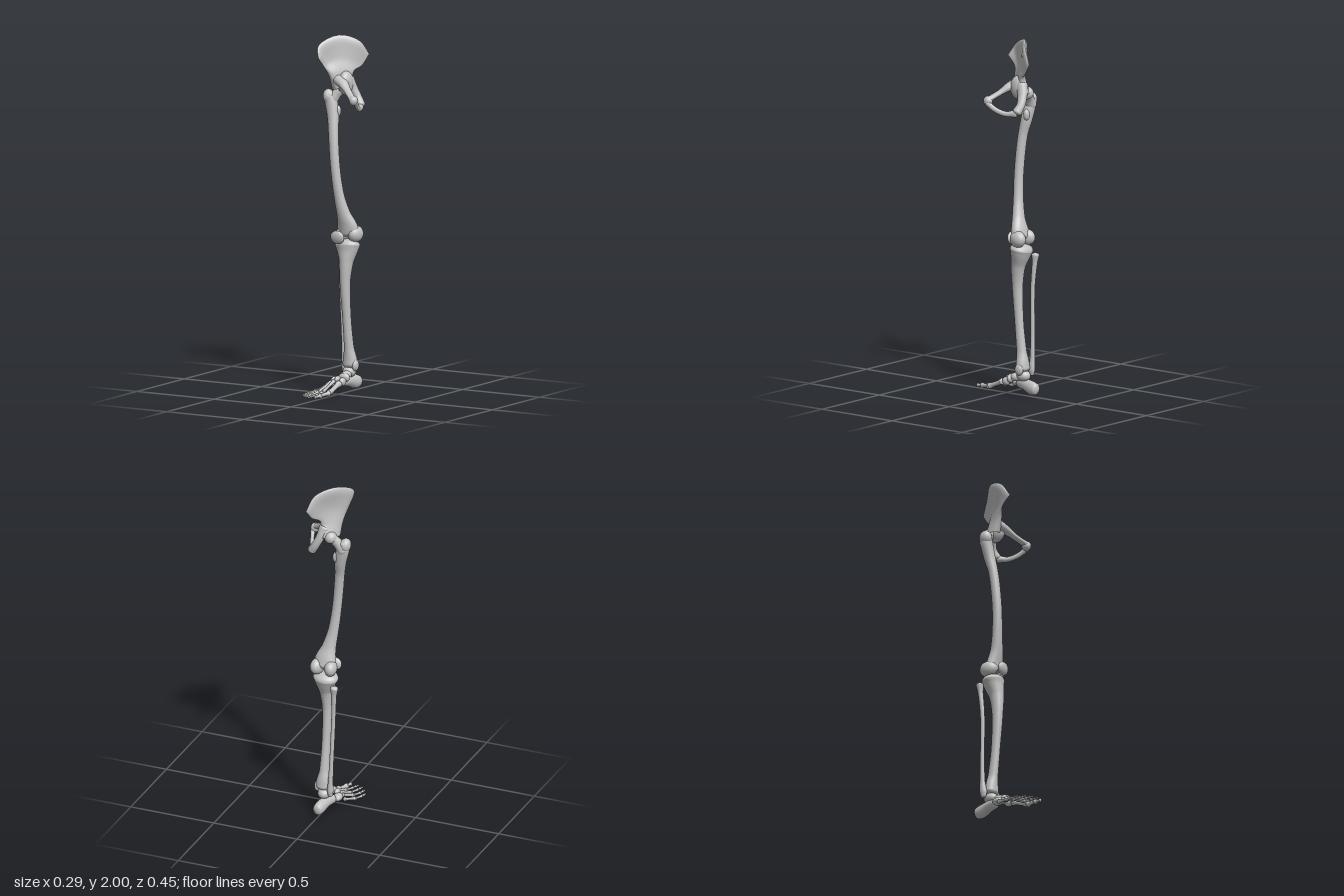
import * as THREE from 'three';

const bone = new THREE.MeshStandardMaterial({ color: 0xc2c2c2 });
bone.name = 'bone grey';

// Surface through closed rings of points; optional poles close the two ends
function skin(rings, poles = []) {
  const n = rings[0].length, pos = [], idx = [];
  [...rings.flat(), ...poles].forEach(p => pos.push(p.x, p.y, p.z));
  const s = rings.length * n, last = s - n;
  for (let j = 0; j < n; j++) {
    const k = (j + 1) % n;
    for (let i = 0; i < rings.length - 1; i++) {
      const a = i * n + j, b = i * n + k;
      idx.push(a, b, a + n, b, b + n, a + n);
    }
    if (poles.length) idx.push(s, k, j, s + 1, last + j, last + k);
  }
  const g = new THREE.BufferGeometry();
  g.setAttribute('position', new THREE.Float32BufferAttribute(pos, 3));
  g.setIndex(idx);
  g.computeVertexNormals();
  return g;
}

function add(parent, name, geometry) {
  const m = new THREE.Mesh(geometry, bone);
  m.name = name;
  parent.add(m);
  return m;
}

// Bone along a spline; each station is [x, y, z, half width, half depth]
function shaft(parent, name, st, steps = 36, sides = 20) {
  const path = new THREE.CatmullRomCurve3(st.map(p => new THREE.Vector3(p[0], p[1], p[2])));
  const radii = new THREE.CatmullRomCurve3(st.map(p => new THREE.Vector3(p[3], p[4] ?? p[3], 0)));
  const span = path.getPoint(1).sub(path.getPoint(0)).normalize();
  const ref = Math.abs(span.y) > 0.7 ? new THREE.Vector3(0, 0, 1) : new THREE.Vector3(0, 1, 0);
  const ring = (t, push, scale) => {
    const c = path.getPoint(t), r = radii.getPoint(t), T = path.getTangent(t);
    const side = new THREE.Vector3().crossVectors(ref, T).normalize();
    const up = new THREE.Vector3().crossVectors(T, side);
    c.addScaledVector(T, push * Math.min(r.x, r.y));
    return Array.from({ length: sides }, (_, j) => {
      const a = j / sides * Math.PI * 2;
      return c.clone().addScaledVector(side, Math.cos(a) * r.x * scale).addScaledVector(up, Math.sin(a) * r.y * scale);
    });
  };
  const rings = [], caps = [1.3, 0.95, 0.6, 0.3];
  caps.forEach(a => rings.push(ring(0, -0.6 * Math.sin(a), Math.cos(a))));
  for (let i = 0; i <= steps; i++) rings.push(ring(i / steps, 0, 1));
  caps.reverse().forEach(a => rings.push(ring(1, 0.6 * Math.sin(a), Math.cos(a))));
  add(parent, name, skin(rings, [ring(0, -0.6, 0)[0], ring(1, 0.6, 0)[0]]));
}

function knob(parent, name, [x, y, z], [rx, ry, rz], rot = [0, 0, 0]) {
  const m = add(parent, name, new THREE.SphereGeometry(1, 24, 16));
  m.position.set(x, y, z);
  m.scale.set(rx, ry, rz);
  m.rotation.set(...rot);
}

function section(root, name) {
  const g = new THREE.Group();
  g.name = name;
  root.add(g);
  return g;
}

// Curved hip blade: rows run front to back, from the socket up to the crest
function hipBlade(g) {
  const rows = [
    [[-.05, 1.7, -.04], [-.045, 1.7, -.065], [-.035, 1.7, -.09], [-.018, 1.7, -.115], [.005, 1.7, -.14]],
    [[-.072, 1.79, -.012], [-.058, 1.79, -.04], [-.038, 1.79, -.07], [-.01, 1.79, -.1], [.022, 1.795, -.128]],
    [[-.088, 1.835, .015], [-.085, 1.86, -.02], [-.042, 1.88, -.075], [.014, 1.865, -.13], [.048, 1.825, -.172]],
    [[-.09, 1.885, .064], [-.113, 1.95, .025], [-.05, 2.0, -.09], [.036, 1.965, -.165], [.068, 1.885, -.218]],
  ].map(r => new THREE.CatmullRomCurve3(r.map(p => new THREE.Vector3(...p))));
  const thick = new THREE.CatmullRomCurve3([.034, .024, .01, .017].map(t => new THREE.Vector3(t, 0, 0)));
  const at = (u, v) => new THREE.CatmullRomCurve3(rows.map(r => r.getPoint(u))).getPoint(v);
  const rings = [], n = 48, steps = 32;
  for (let i = 0; i <= steps; i++) {
    const v = Math.sin(i / steps * Math.PI / 2), ring = [];
    // The blade rounds over to nothing along the crest
    const h = thick.getPoint(v).x * Math.sqrt(1 - Math.max(0, (v - .86) / .14) ** 2);
    for (let j = 0; j < n; j++) {
      const a = j / n * Math.PI * 2, u = (1 - Math.cos(a)) / 2;
      const u0 = Math.max(0, u - .02), u1 = Math.min(1, u + .02);
      const v0 = Math.max(0, v - .02), v1 = Math.min(1, v + .02);
      const N = at(u1, v).sub(at(u0, v)).cross(at(u, v1).sub(at(u, v0))).normalize();
      ring.push(at(u, v).addScaledVector(N, h * Math.sign(Math.sin(a)) * Math.abs(Math.sin(a)) ** .7));
    }
    rings.push(ring);
  }
  add(g, 'hip blade', skin(rings));
}

function buildPelvis(g) {
  hipBlade(g);
  knob(g, 'hip socket', [-.003, 1.735, -.086], [.038, .068, .054]);
  shaft(g, 'upper pubic branch', [[-.03, 1.755, -.055, .036, .03], [.015, 1.735, -.032, .03, .024],
    [.055, 1.708, -.006, .022, .016], [.09, 1.685, .018, .021, .015], [.118, 1.668, .036, .023, .018]]);
  knob(g, 'pubic body', [.12, 1.662, .034], [.024, .028, .027]);
  shaft(g, 'lower pubic branch', [[.13, 1.652, .03, .014, .016], [.116, 1.618, -.015, .011, .015],
    [.094, 1.598, -.07, .012, .015], [.07, 1.602, -.12, .018, .021]]);
  shaft(g, 'seat bone', [[0, 1.75, -.11, .032, .034], [.02, 1.695, -.13, .024, .028],
    [.045, 1.645, -.138, .023, .024], [.066, 1.612, -.13, .025, .027]]);
}

function buildThigh(g) {
  shaft(g, 'femur shaft', [[-.11, 1.665, -.085, .03, .034], [-.097, 1.615, -.085, .037, .034],
    [-.081, 1.54, -.077, .033, .032], [-.069, 1.45, -.06, .028, .027], [-.049, 1.25, -.05, .027, .027],
    [-.031, 1.1, -.06, .03, .028], [-.012, 1, -.077, .04, .033], [0, .935, -.095, .06, .038],
    [.003, .898, -.103, .066, .04]], 64, 28);
  knob(g, 'greater trochanter', [-.112, 1.65, -.083], [.032, .043, .037], [0, 0, .2]);
  knob(g, 'lesser trochanter', [-.06, 1.572, -.094], [.018, .032, .018]);
  shaft(g, 'femur neck', [[-.1, 1.625, -.088, .036], [-.073, 1.665, -.1, .028], [-.045, 1.7, -.115, .027]]);
  knob(g, 'femur head', [-.038, 1.702, -.117], [.036, .036, .036]);
  knob(g, 'inner condyle', [.042, .888, -.115], [.037, .047, .052], [0, -.15, 0]);
  knob(g, 'outer condyle', [-.037, .888, -.113], [.036, .046, .052], [0, .15, 0]);
  knob(g, 'kneecap', [-.023, .875, -.027], [.043, .038, .019], [.15, 0, 0]);
}

function buildShin(g) {
  shaft(g, 'tibia', [[-.004, .822, -.105, .073, .06], [-.002, .795, -.1, .062, .054],
    [0, .73, -.085, .039, .042], [-.003, .62, -.077, .029, .032], [0, .4, -.092, .024, .026],
    [.002, .25, -.11, .027, .029], [.003, .19, -.118, .04, .034], [.004, .155, -.12, .045, .036]], 60, 28);
  knob(g, 'inner ankle', [.038, .15, -.12], [.016, .032, .027]);
  shaft(g, 'fibula', [[-.073, .785, -.148, .023, .021], [-.07, .74, -.145, .016, .015],
    [-.064, .6, -.136, .012, .013], [-.056, .35, -.142, .012, .012], [-.05, .2, -.145, .014, .016],
    [-.047, .145, -.142, .017, .021], [-.047, .115, -.14, .012, .016]], 50, 16);
}

function buildFoot(g) {
  // Ankle and midfoot bones
  shaft(g, 'heel bone', [[.001, .046, -.207, .028, .034], [-.002, .049, -.18, .03, .039],
    [-.012, .06, -.13, .029, .033], [-.03, .06, -.075, .026, .027]]);
  knob(g, 'ankle bone', [-.002, .112, -.12], [.036, .032, .042]);
  knob(g, 'ankle bone head', [.008, .1, -.073], [.027, .024, .033]);
  knob(g, 'navicular', [.012, .09, -.042], [.034, .026, .018], [0, .2, 0]);
  knob(g, 'cuboid', [-.05, .058, -.04], [.026, .022, .036]);
  [['inner', .018, .07, .018, .024], ['middle', -.012, .082, .014, .02], ['outer', -.035, .075, .015, .021]]
    .forEach(([n, x, y, rx, ry]) => knob(g, n + ' cuneiform', [x, y, -.014], [rx, ry, .026]));

  // Each ray: joint points from the midfoot to the toe tip, and its thickness
  const rays = [
    ['big', [[.014, .065, .012], [.011, .024, .115], [-.008, .017, .178], [-.017, .012, .218]], .018],
    ['second', [[-.022, .076, .005], [-.031, .024, .118], [-.047, .014, .176], [-.058, .008, .223]], .0108],
    ['third', [[-.045, .068, .0], [-.065, .022, .106], [-.08, .013, .165], [-.088, .008, .209]], .0108],
    ['fourth', [[-.062, .056, -.006], [-.09, .02, .083], [-.107, .012, .138], [-.115, .008, .181]], .0108],
    ['little', [[-.078, .04, -.02], [-.114, .018, .054], [-.13, .011, .104], [-.136, .008, .143]], .0108],
  ];
  for (const [name, joints, r] of rays) {
    const P = joints.map(p => new THREE.Vector3(...p));
    const segment = (label, a, b, ra, rb) => {
      const p = t => a.clone().lerp(b, t).toArray(), w = Math.min(ra, rb) * .72;
      shaft(g, label, [[...p(.06), ra], [...p(.24), w * 1.1], [...p(.5), w], [...p(.76), w * 1.05], [...p(.92), rb]], 20, 12);
    };
    segment(name + ' metatarsal', P[0], P[1], r * 1.1, r);
    segment(name + ' toe base', P[1], P[2], r * .95, r * .8);
    if (name === 'big') segment('big toe tip', P[2], P[3], r * .9, r * .6);
    else {
      const m = P[2].clone().lerp(P[3], .55);
      segment(name + ' toe middle', P[2], m, r * .8, r * .7);
      segment(name + ' toe tip', m, P[3], r * .7, r * .6);
    }
  }
}

export function createModel() {
  const root = new THREE.Group();
  root.name = 'leg skeleton';
  buildPelvis(section(root, 'pelvis'));
  buildThigh(section(root, 'thigh'));
  buildShin(section(root, 'shin'));
  buildFoot(section(root, 'foot'));
  return root;
}
